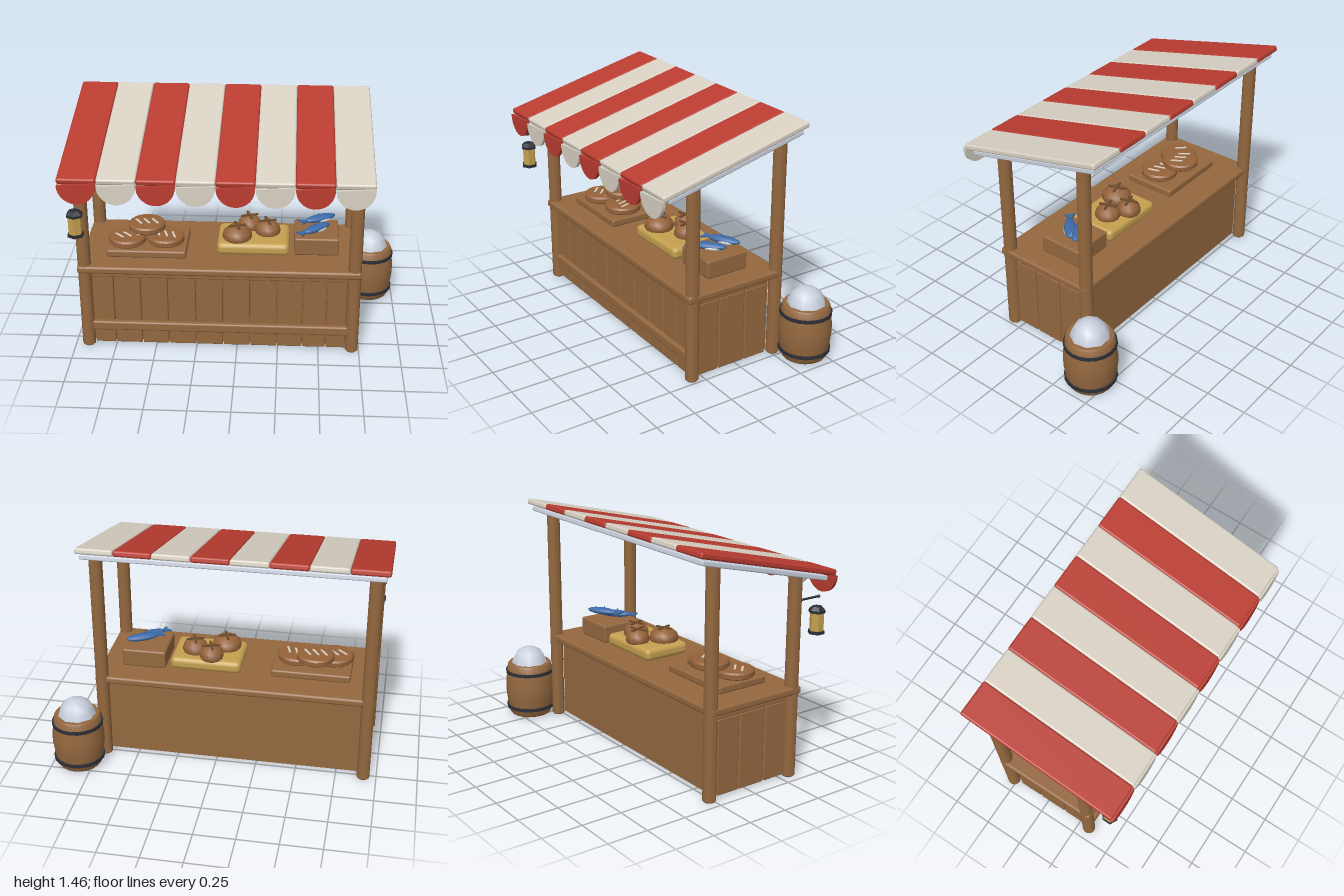
import * as THREE from 'three';
import { RoundedBoxGeometry } from 'three/addons/geometries/RoundedBoxGeometry.js';
import { toCreasedNormals } from 'three/addons/utils/BufferGeometryUtils.js';

const material = (name, color) => {
  const m = new THREE.MeshStandardMaterial({ color });
  m.name = name;
  return m;
};

export function createModel() {
  const wood = material('wood', 0x94683f);
  const crust = material('crust', 0x94623a);
  const stemBrown = material('stem brown', 0x6b4a2c);
  const red = material('canvas red', 0xb93c30);
  const cream = material('canvas cream', 0xd8d0c3);
  const pale = material('pale blue grey', 0xc9d0dc);
  const iron = material('iron', 0x2c2f36);
  const straw = material('straw yellow', 0xc4a050);
  const blue = material('fish blue', 0x3d6aa6);

  const stall = new THREE.Group();
  stall.name = 'marketStall';

  const add = (name, geometry, mat, x = 0, y = 0, z = 0, parent = stall) => {
    const mesh = new THREE.Mesh(geometry, mat);
    mesh.name = name;
    mesh.position.set(x, y, z);
    parent.add(mesh);
    return mesh;
  };
  const group = (name, x = 0, y = 0, z = 0) => {
    const g = new THREE.Group();
    g.name = name;
    g.position.set(x, y, z);
    stall.add(g);
    return g;
  };
  // Rounded box given by its limits on each axis
  const block = (name, mat, [x0, x1], [y0, y1], [z0, z1], r = 0.01, parent = stall) =>
    add(name, new RoundedBoxGeometry(x1 - x0, y1 - y0, z1 - z0, 2, r), mat,
      (x0 + x1) / 2, (y0 + y1) / 2, (z0 + z1) / 2, parent);
  const turned = (points, sides, crease = 0.7) => toCreasedNormals(
    new THREE.LatheGeometry(points.map(([r, y]) => new THREE.Vector2(r, y)), sides), crease);

  // Corner posts with softened ends
  for (const x of [-0.92, 0.705]) {
    for (const [name, z, h] of [['frontPost', 0.32, 1.225], ['backPost', -0.27, 1.375]]) {
      add(name, turned([[0, 0], [0.033, 0], [0.04, 0.008], [0.04, h - 0.008], [0.033, h], [0, h]], 14),
        wood, x, 0, z);
    }
  }

  // Counter: top, solid body, planks and rails
  block('counterTop', wood, [-0.96, 0.745], [0.513, 0.56], [-0.295, 0.365], 0.015);
  add('counterBody', new THREE.BoxGeometry(1.575, 0.5, 0.525), wood, -0.1075, 0.265, 0.0275);
  const seams = [-0.88, -0.75, -0.585, -0.42, -0.25, -0.085, 0.08, 0.245, 0.4, 0.545, 0.667];
  for (let i = 0; i < seams.length - 1; i++) {
    block('frontPlank', wood, [seams[i] + 0.003, seams[i + 1] - 0.003], [0.01, 0.48], [0.28, 0.318], 0.008);
  }
  block('frontTopRail', wood, [-0.875, 0.66], [0.475, 0.508], [0.28, 0.328], 0.008);
  block('frontLowerRail', wood, [-0.89, 0.68], [0.11, 0.17], [0.3, 0.345], 0.012);
  const sideSeams = [-0.215, -0.055, 0.13, 0.29];
  for (const side of [-1, 1]) {
    const limits = [0.765, 0.81].map((d) => -0.1075 + side * d).sort((a, b) => a - b);
    for (let i = 0; i < 3; i++) {
      block('sidePlank', wood, limits, [0.01, 0.473], [sideSeams[i] + 0.003, sideSeams[i + 1] - 0.003], 0.008);
    }
    block('sideTopRail', wood, limits, [0.472, 0.5], [-0.215, 0.285], 0.008);
  }

  // Sloping striped awning over a pale lining
  const slope = 0.241;
  const stripe = 1.785 / 8;
  const scallop = new THREE.Shape();
  scallop.moveTo(-stripe / 2 + 0.002, 0);
  scallop.absellipse(0, -0.015, stripe / 2 - 0.002, 0.112, Math.PI, Math.PI * 2, false);
  scallop.lineTo(stripe / 2 - 0.002, 0);
  scallop.closePath();
  const scallopGeometry = toCreasedNormals(
    new THREE.ExtrudeGeometry(scallop, { depth: 0.02, bevelEnabled: false, curveSegments: 16 }), 0.6);
  for (let i = 0; i < 8; i++) {
    const x = -1 + stripe * (i + 0.5);
    const mat = i % 2 ? cream : red;
    add('awningStripe', new RoundedBoxGeometry(stripe, 0.036, 1.0, 2, 0.012), mat, x, 1.326, 0.075)
      .rotation.x = slope;
    add('valanceScallop', scallopGeometry, mat, x, 1.203, 0.55);
  }
  add('awningLining', new RoundedBoxGeometry(1.745, 0.03, 0.925, 2, 0.008), pale, -0.1075, 1.288, 0.0625)
    .rotation.x = slope;

  // Hanging lantern and its bracket
  const lantern = group('lantern', -0.92, 0, 0.498);
  const hex = (name, mat, rTop, rBottom, y0, y1) =>
    add(name, new THREE.CylinderGeometry(rTop, rBottom, y1 - y0, 6).toNonIndexed(), mat, 0, (y0 + y1) / 2, 0, lantern)
      .geometry.computeVertexNormals();
  hex('lanternBase', iron, 0.05, 0.05, 0.843, 0.861);
  hex('lanternGlass', straw, 0.042, 0.042, 0.861, 0.97);
  hex('lanternRim', iron, 0.05, 0.05, 0.968, 0.984);
  hex('lanternCap', iron, 0.03, 0.05, 0.984, 1.004);
  add('bracketArm', new THREE.CylinderGeometry(0.007, 0.007, 0.15, 8), iron, 0, 1.062, -0.066, lantern)
    .rotation.x = Math.PI / 2;
  add('bracketTip', new THREE.SphereGeometry(0.01, 8, 6), iron, 0, 1.062, 0.006, lantern);

  // Barrel heaped with ice
  const barrel = group('barrel', 0.838, 0, -0.406);
  add('barrelBody', turned([[0, 0.005], [0.128, 0.005], [0.136, 0.015], [0.15, 0.08], [0.16, 0.16], [0.16, 0.21],
    [0.151, 0.29], [0.143, 0.345], [0.136, 0.355], [0, 0.355]], 20), wood, 0, 0, 0, barrel);
  for (const [y, r] of [[0.06, 0.157], [0.3, 0.157]]) {
    add('barrelHoop', turned([[r - 0.02, y - 0.01], [r, y - 0.01], [r, y + 0.01], [r - 0.02, y + 0.01]], 20),
      iron, 0, 0, 0, barrel);
  }
  add('iceHeap', turned([[0.118, 0.352], [0.108, 0.385], [0.083, 0.425], [0.042, 0.452], [0, 0.457]], 9, 1.2),
    pale, 0, 0, 0, barrel);

  // Board with three scored round loaves
  block('loafBoard', wood, [-0.8, -0.315], [0.558, 0.606], [-0.11, 0.23], 0.012);
  const loafProfile = [[0, 0], [0.107, 0], [0.115, 0.008], [0.115, 0.034], [0.106, 0.044], [0, 0.045]];
  for (const [x, y, z, turn] of [[-0.685, 0.605, 0.095, 0.3], [-0.45, 0.605, 0.075, -0.2], [-0.575, 0.65, 0, 0.1]]) {
    const loaf = group('roundLoaf', x, y, z);
    loaf.rotation.y = turn;
    add('loafCrust', turned(loafProfile, 18), crust, 0, 0, 0, loaf);
    for (const dx of [-0.05, 0, 0.05]) {
      add('loafScore', new THREE.BoxGeometry(0.012, 0.005, 0.075), cream, dx, 0.0465, 0, loaf).rotation.y = 0.5;
    }
  }

  // Straw tray with domed rolls, each crossed by dark strips
  block('rollTray', straw, [-0.13, 0.31], [0.562, 0.64], [-0.13, 0.18], 0.03);
  for (const [x, z, r] of [[-0.01, 0.08, 0.093], [0.175, 0, 0.08], [0.06, -0.07, 0.075]]) {
    const roll = group('roll', x, 0.635, z);
    add('rollDome', turned([[0, 0], [r * 0.9, 0], [r, 0.02], [r * 0.9, 0.05], [r * 0.6, 0.074], [0, 0.085]], 14, 1),
      crust, 0, 0, 0, roll);
    for (const a of [0.3, 0.3 + Math.PI / 2]) {
      add('rollStrip', new THREE.BoxGeometry(0.11, 0.008, 0.014), stemBrown, 0, 0.084, 0, roll).rotation.y = a;
    }
  }

  // Crate with two fish
  block('fishCrate', wood, [0.34, 0.612], [0.558, 0.672], [-0.13, 0.148], 0.012);
  const tail = new THREE.Shape([[0, 0.006], [-0.05, 0.032], [-0.038, 0], [-0.05, -0.032], [0, -0.006]]
    .map(([x, y]) => new THREE.Vector2(x, y)));
  const tailGeometry = new THREE.ExtrudeGeometry(tail, { depth: 0.012, bevelEnabled: false });
  tailGeometry.translate(0, 0, -0.006).rotateX(-Math.PI / 2);
  for (const [x, y, z, yaw] of [[0.465, 0.698, 0.055, 0.72], [0.485, 0.724, -0.035, 0.5]]) {
    const fish = group('fish', x, y, z);
    fish.rotation.y = yaw;
    add('fishBody', new THREE.SphereGeometry(1, 14, 10), blue, 0.015, 0, 0, fish).scale.set(0.105, 0.022, 0.035);
    add('fishBelly', new THREE.SphereGeometry(1, 12, 8), cream, 0.03, -0.007, 0.008, fish).scale.set(0.06, 0.017, 0.031);
    add('fishTail', tailGeometry, blue, -0.075, 0, 0, fish);
    add('fishFin', new THREE.ConeGeometry(0.016, 0.03, 4), blue, 0, 0.022, 0, fish).scale.z = 0.3;
  }

  return stall;
}
